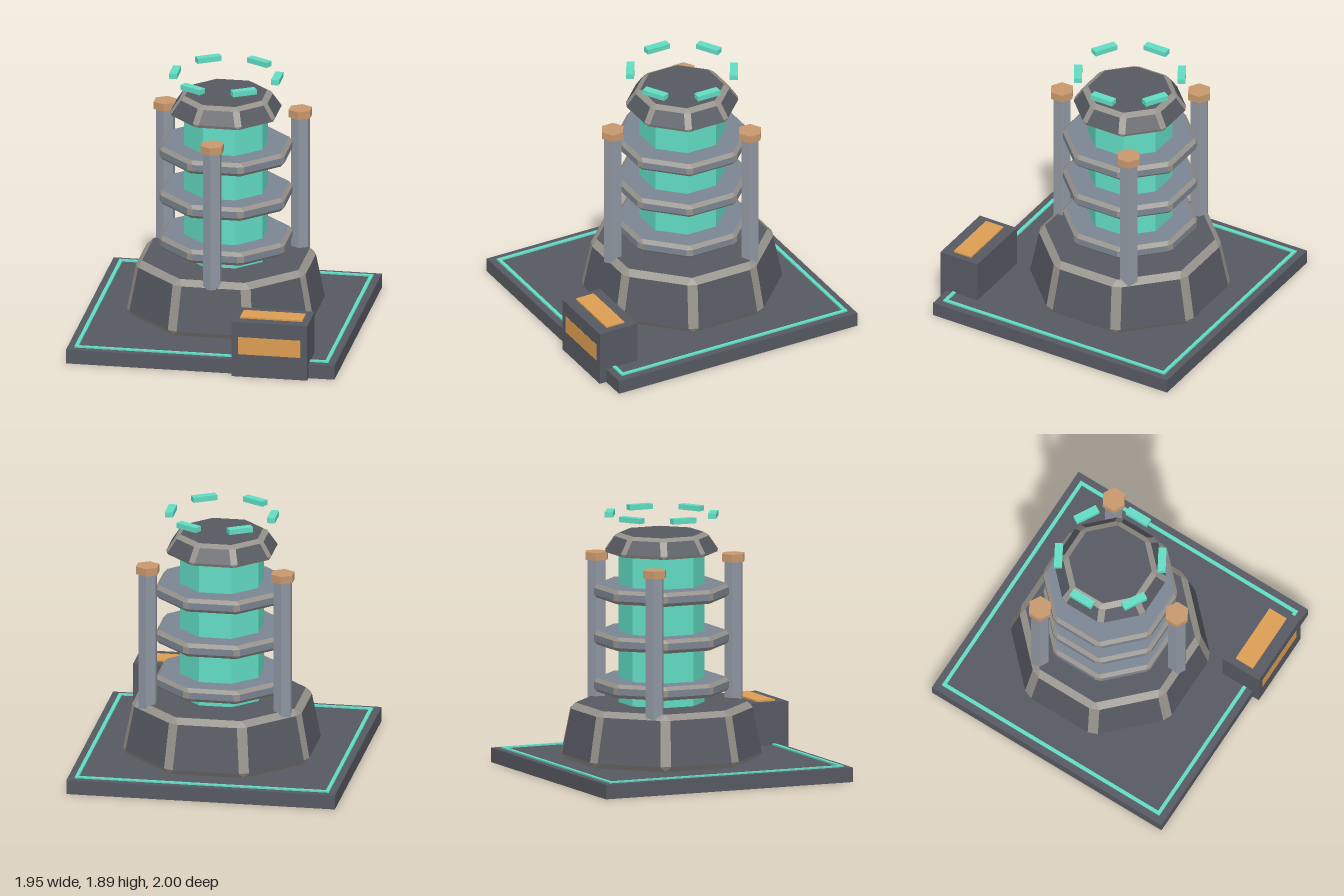
import * as THREE from 'three';

const mat = (color) => new THREE.MeshStandardMaterial({ color, flatShading: true });
const DARK = mat(0x575962), STEEL = mat(0x7b8593), PILLAR = mat(0x8f96a1), WORN = mat(0x96928b);
const GLOW = mat(0x62dcc4), COPPER = mat(0xc8986c), AMBER = mat(0xdc9d52);
const CZ = -0.11; // tower axis
const PZ = -0.0275; // plate centre

function add(parent, name, geometry, material, x = 0, y = 0, z = 0) {
  const mesh = new THREE.Mesh(geometry, material);
  mesh.name = name;
  mesh.position.set(x, y, z);
  parent.add(mesh);
  return mesh;
}

function facets(points) {
  const g = new THREE.BufferGeometry().setFromPoints(points);
  g.computeVertexNormals();
  return g;
}

// Octagonal frustum with every edge chamfered by w; a0 and a1 are the
// centre-to-side distances at the bottom y0 and the top y1.
function chamferedOctagon(name, a0, a1, y0, y1, w, material) {
  const step = Math.PI / 4, t = w / Math.hypot(a1 - a0, y1 - y0);
  const corner = (k, a, y) => {
    const r = a / Math.cos(step / 2), ang = (k - 0.5) * step;
    return new THREE.Vector3(r * Math.sin(ang), y, r * Math.cos(ang));
  };
  // points on side k, set in from its left (0) or right (1) corner
  const sidePoint = (k, right, f) => {
    const a = a0 + (a1 - a0) * f, y = y0 + (y1 - y0) * f;
    const p = corner(k, a, y), q = corner(k + 1, a, y);
    const cut = w / p.distanceTo(q);
    return p.lerp(q, right ? 1 - cut : cut);
  };
  const faces = [], edges = [];
  const quad = (list, a, b, c, d) => list.push(a, b, c, a, c, d);
  const top = new THREE.Vector3(0, y1, 0), bottom = new THREE.Vector3(0, y0, 0);
  for (let k = 0; k < 8; k++) {
    const bl = sidePoint(k, 0, t), br = sidePoint(k, 1, t);
    const tl = sidePoint(k, 0, 1 - t), tr = sidePoint(k, 1, 1 - t);
    const pb = sidePoint(k - 1, 1, t), pt = sidePoint(k - 1, 1, 1 - t);
    const T0 = corner(k, a1 - w, y1), T1 = corner(k + 1, a1 - w, y1);
    const B0 = corner(k, a0 - w, y0), B1 = corner(k + 1, a0 - w, y0);
    quad(faces, bl, br, tr, tl);
    faces.push(top, T0, T1, bottom, B1, B0);
    quad(edges, pb, bl, tl, pt);
    quad(edges, tl, tr, T1, T0);
    quad(edges, B0, B1, br, bl);
    edges.push(pt, tl, T0, bl, pb, B0);
  }
  const group = new THREE.Group();
  group.name = name;
  add(group, name + 'Faces', facets(faces), material);
  add(group, name + 'Edges', facets(edges), WORN);
  return group;
}

export function createModel() {
  const model = new THREE.Group();
  model.name = 'reactorTower';

  // Ground plate with a glowing square border
  add(model, 'groundPlate', new THREE.BoxGeometry(1.945, 0.105, 1.945), DARK, 0, 0.0525, PZ);
  const border = new THREE.Group();
  border.name = 'glowBorder';
  border.position.set(0, 0.108, PZ);
  for (const s of [-1, 1]) {
    add(border, 'borderStripX', new THREE.BoxGeometry(1.842, 0.016, 0.026), GLOW, 0, 0, s * 0.908);
    add(border, 'borderStripZ', new THREE.BoxGeometry(0.026, 0.016, 1.79), GLOW, s * 0.908, 0, 0);
  }
  model.add(border);

  // Tower: chamfered base, glowing core, three collars and a cap
  const tower = new THREE.Group();
  tower.name = 'tower';
  tower.position.z = CZ;
  model.add(tower);
  tower.add(chamferedOctagon('base', 0.682, 0.607, 0.11, 0.513, 0.04, DARK));
  const core = new THREE.CylinderGeometry(0.308, 0.308, 1.14, 8).rotateY(Math.PI / 8);
  add(tower, 'core', core, GLOW, 0, 1.06, 0);
  for (const y of [0.64, 0.98, 1.318]) {
    tower.add(chamferedOctagon('collar', 0.453, 0.453, y - 0.05, y + 0.05, 0.026, STEEL));
  }
  tower.add(chamferedOctagon('cap', 0.395, 0.305, 1.597, 1.738, 0.027, DARK));

  // Three hexagonal pillars with copper heads
  for (let i = 0; i < 3; i++) {
    const a = (i * Math.PI * 2) / 3, x = 0.565 * Math.sin(a), z = 0.565 * Math.cos(a);
    add(tower, 'pillar', new THREE.CylinderGeometry(0.071, 0.071, 1.04, 6), PILLAR, x, 0.985, z);
    add(tower, 'pillarHead', new THREE.CylinderGeometry(0.089, 0.089, 0.056, 6), COPPER, x, 1.522, z);
  }

  // Floating ring of six bars
  for (let i = 0; i < 6; i++) {
    const a = (i + 0.5) * Math.PI / 3;
    const bar = add(tower, 'floatingBar', new THREE.BoxGeometry(0.18, 0.038, 0.058), GLOW,
      0.37 * Math.sin(a), 1.871, 0.37 * Math.cos(a));
    bar.rotation.y = a;
  }

  // Console with a lit top panel and front panel
  const panel = new THREE.BoxGeometry(0.45, 0.02, 0.145);
  add(model, 'console', new THREE.BoxGeometry(0.55, 0.413, 0.308), DARK, 0.51, 0.2065, 0.844);
  add(model, 'consoleTopPanel', panel, AMBER, 0.51, 0.415, 0.843);
  add(model, 'consoleFrontPanel', new THREE.BoxGeometry(0.45, 0.13, 0.02), AMBER, 0.51, 0.235, 0.99);
  return model;
}
